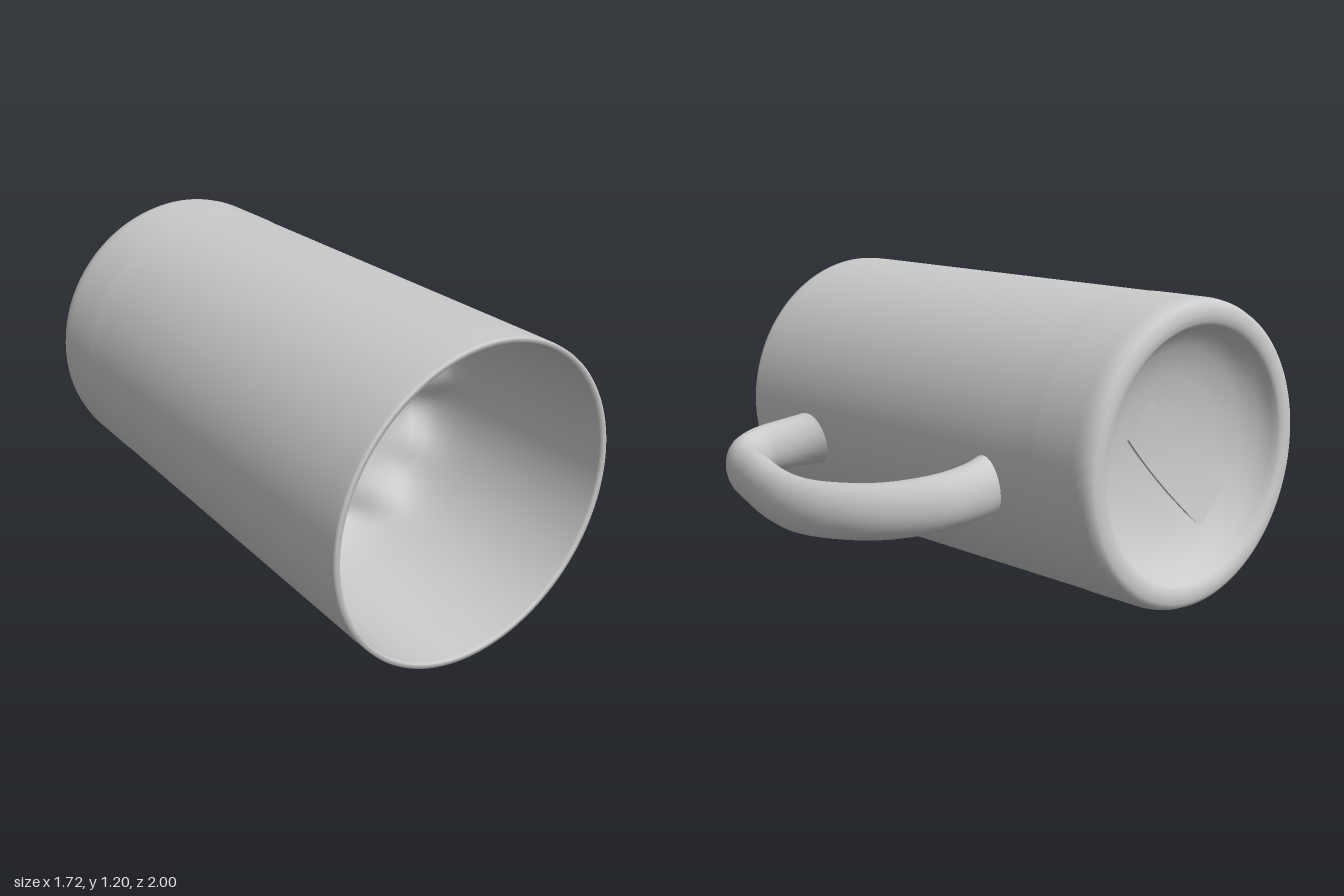
import * as THREE from 'three';
import { mergeVertices } from 'three/addons/utils/BufferGeometryUtils.js';

const V = (x, y, z) => new THREE.Vector3(x, y, z);
const CX = -0.26;
const axisY = z => 0.606 - 0.006 * z; // tiny sag of the mug's axis
const outerR = z => 0.583 + 0.018 * z; // gentle taper, wide at the mouth

// Weld seams and smooth
function smooth(geo) {
  geo.deleteAttribute('uv');
  geo.deleteAttribute('normal');
  const g = mergeVertices(geo, 1e-4);
  g.computeVertexNormals();
  return g;
}

function bodyGeometry() {
  const pts = [];
  const add = (...list) => list.forEach(([r, z]) => pts.push(new THREE.Vector2(r, z)));
  // hollow underside and rounded foot
  add([0, -0.82], [0.15, -0.825], [0.28, -0.845], [0.38, -0.88], [0.44, -0.925], [0.465, -0.965],
    [0.472, -0.985], [0.485, -0.997], [0.51, -1], [0.535, -0.998], [0.553, -0.988], [0.564, -0.965]);
  // outer wall
  for (let z = -0.94; z < -0.7; z += 0.02) add([outerR(z) + 0.002, z]);
  for (let z = -0.68; z < 0.96; z += 0.08) add([outerR(z), z]);
  // lip, inner wall and floor
  add([0.6, 0.985], [0.599, 1], [0.582, 1], [0.58, 0.985], [0.575, 0.8], [0.565, 0.6], [0.555, 0.4],
    [0.545, 0.3], [0.53, 0.23], [0.505, 0.18], [0.46, 0.145], [0.38, 0.125], [0.25, 0.11], [0.12, 0.1], [0, 0.1]);
  const geo = new THREE.LatheGeometry(pts, 128);
  geo.rotateX(Math.PI / 2);

  const scars = [V(0.56, -0.04, -0.9), V(-0.52, 0.22, -0.9)];
  const p = geo.attributes.position, v = V();
  for (let i = 0; i < p.count; i++) {
    v.fromBufferAttribute(p, i);
    const r = Math.hypot(v.x, v.y), a = Math.atan2(v.y, v.x);
    if (v.z > 0.05 && v.z < 0.45 && r < 0.56) {
      // lumpy edge of the floor
      const edge = Math.exp(-(((r - 0.49) / 0.07) ** 2));
      v.z += 0.04 * edge * (Math.sin(5 * a) + 0.7 * Math.sin(11 * a + 1));
    } else if (v.z < -0.65 && r > 0.54) {
      // small rough scars near the foot
      for (const s of scars) {
        const f = Math.exp(-((v.distanceTo(s) / 0.06) ** 2));
        const k = 1 + 0.03 * f * Math.sin(v.z * 150) * Math.cos(a * 60);
        v.x *= k; v.y *= k;
      }
    }
    p.setXYZ(i, v.x + CX, v.y + axisY(v.z), v.z);
  }
  return smooth(geo);
}

function handleGeometry() {
  const path = new THREE.CatmullRomCurve3([
    V(0.27, 0.51, -0.48), V(0.37, 0.495, -0.493), V(0.5, 0.47, -0.46), V(0.65, 0.44, -0.335),
    V(0.75, 0.425, -0.16), V(0.783, 0.418, 0), V(0.765, 0.418, 0.18), V(0.715, 0.425, 0.39),
    V(0.66, 0.43, 0.57), V(0.61, 0.44, 0.645), V(0.52, 0.458, 0.678), V(0.41, 0.48, 0.65), V(0.27, 0.505, 0.59)]);
  const SEG = 90, RAD = 24;
  const geo = new THREE.TubeGeometry(path, SEG, 0.075, RAD);
  const p = geo.attributes.position, v = V();
  for (let i = 0; i < p.count; i++) {
    const u = Math.floor(i / (RAD + 1)) / SEG;
    const c = path.getPointAt(u);
    // oval section, flared where it meets the wall
    const flare = 1 + 0.12 * Math.exp(-u / 0.04) + 0.65 * Math.exp(-(1 - u) / 0.04);
    const wide = 1 + 0.15 * Math.exp(-u / 0.04) + 0.15 * Math.exp(-(1 - u) / 0.04);
    v.fromBufferAttribute(p, i).sub(c);
    v.set(v.x * flare, v.y * 1.38 * wide, v.z * flare).add(c);
    // keep the ends inside the thickness of the wall
    const dx = v.x - CX, dy = v.y - axisY(v.z), r = Math.hypot(dx, dy), min = outerR(v.z) - 0.01;
    if (r < min) { v.x = CX + dx * min / r; v.y = axisY(v.z) + dy * min / r; }
    p.setXYZ(i, v.x, v.y, v.z);
  }
  return smooth(geo);
}

export function createModel() {
  const group = new THREE.Group();
  const material = new THREE.MeshStandardMaterial({ color: 0xcccccc, side: THREE.DoubleSide });
  const add = (name, geo) => {
    const m = new THREE.Mesh(geo, material);
    m.name = name;
    group.add(m);
    return m;
  };
  add('mugBody', bodyGeometry());
  add('handle', handleGeometry());

  // blank sticker bent to the hollow underside
  const sticker = new THREE.BoxGeometry(0.54, 0.18, 0.012, 16, 6, 1);
  sticker.rotateZ(Math.PI / 4);
  sticker.translate(-0.05, -0.06, 0);
  const p = sticker.attributes.position;
  for (let i = 0; i < p.count; i++) {
    const r = Math.hypot(p.getX(i), p.getY(i));
    p.setZ(i, p.getZ(i) - 0.825 - 0.32 * r * r);
  }
  sticker.computeVertexNormals();
  add('baseSticker', sticker).position.set(CX, axisY(-0.82), 0);
  return group;
}
